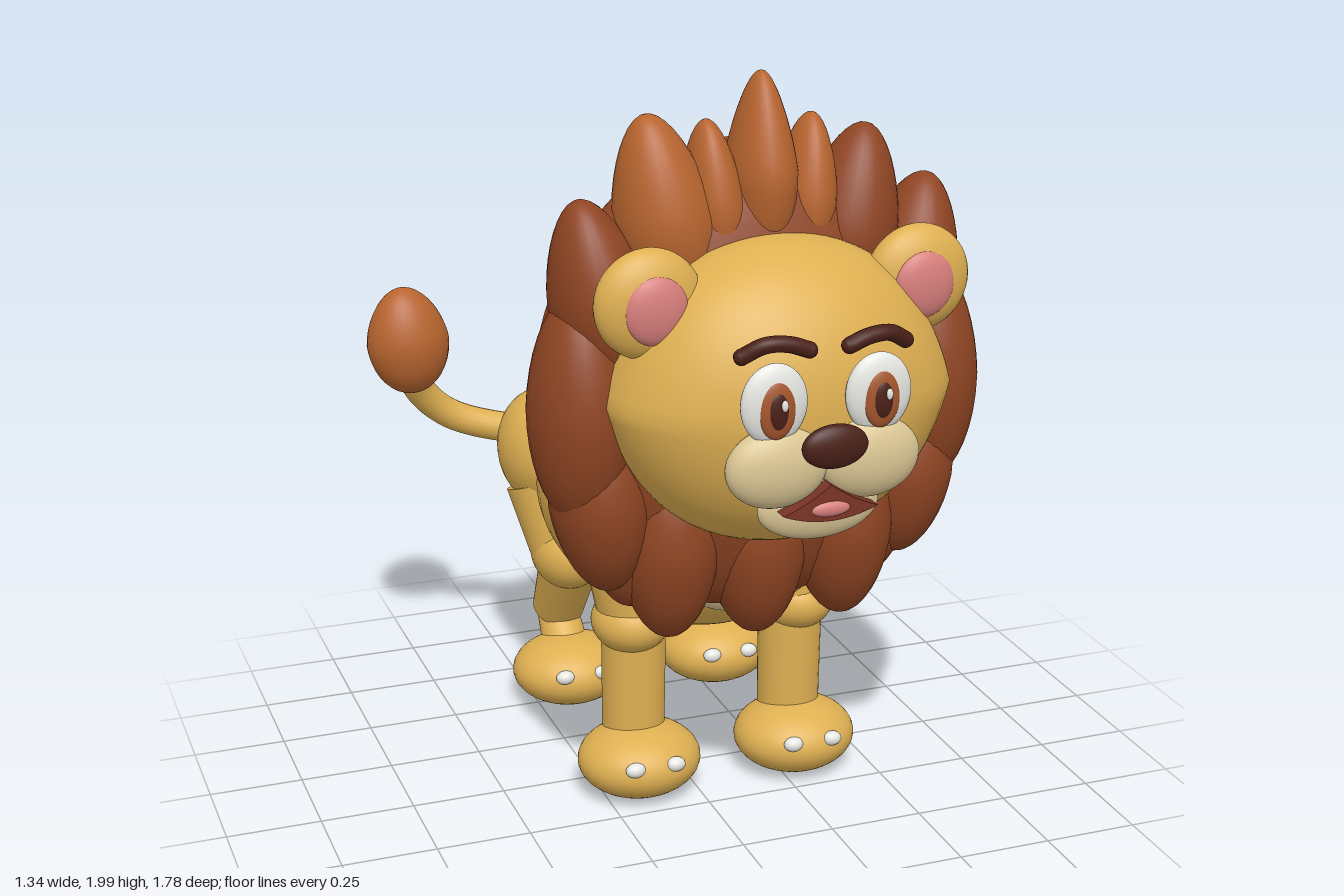
import * as THREE from 'three';

const mat = (name, color) => Object.assign(new THREE.MeshStandardMaterial({ color }), { name });
const tan = mat('tan fur', 0xdfb052);
const brown = mat('brown mane', 0x8f4523);
const orange = mat('orange tuft', 0xb8652f);
const pink = mat('pink', 0xd87f7c);
const cream = mat('cream', 0xdcc795);
const white = mat('white', 0xe6e6e2);
const dark = mat('dark brown', 0x4a2018);
const mouthBrown = mat('mouth brown', 0x7a3326);
const iris = mat('iris brown', 0xa5562c);

const CX = 0.073; // the body's mid plane; the tail reaches out to one side

export function createModel() {
  const model = new THREE.Group();
  const body = new THREE.Group();
  body.name = 'lion';
  body.position.x = CX;
  model.add(body);

  const add = (name, geometry, material, pos = [0, 0, 0]) => {
    const mesh = new THREE.Mesh(geometry, material);
    mesh.name = name;
    mesh.position.set(...pos);
    body.add(mesh);
    return mesh;
  };
  const ball = (name, material, pos, r, detail = 32) =>
    add(name, new THREE.SphereGeometry(1, detail, detail * 0.75).scale(...r), material, pos);

  // ellipsoid lock narrowing towards its tip; angle is measured from straight up
  const lock = (name, material, pos, r, angle = 0, taper = 0.22) => {
    const g = new THREE.SphereGeometry(1, 28, 20);
    const p = g.attributes.position;
    for (let i = 0; i < p.count; i++) {
      const k = 1 - taper * Math.max(0, p.getY(i));
      p.setX(i, p.getX(i) * k);
      p.setZ(i, p.getZ(i) * k);
    }
    g.scale(...r).computeVertexNormals();
    const mesh = add(name, g, material, pos);
    mesh.rotation.z = -angle;
    return mesh;
  };
  // tapered limb between two points
  const limb = (name, a, b, ra, rb) => {
    const from = new THREE.Vector3(...a), to = new THREE.Vector3(...b);
    const dir = to.clone().sub(from);
    const mesh = add(name, new THREE.CylinderGeometry(rb, ra, dir.length(), 28), tan);
    mesh.position.copy(from).addScaledVector(dir, 0.5);
    mesh.quaternion.setFromUnitVectors(new THREE.Vector3(0, 1, 0), dir.normalize());
  };

  // trunk
  ball('chest', tan, [0, 0.81, 0.05], [0.385, 0.355, 0.29], 48);
  ball('belly', tan, [0, 0.715, -0.3], [0.352, 0.325, 0.45], 48);
  ball('rump', tan, [0, 0.715, -0.57], [0.31, 0.328, 0.32], 48);
  ball('chestPatch', cream, [0, 0.67, 0.25], [0.16, 0.11, 0.08]);

  // mane: back dome with a ring of locks
  ball('maneBack', brown, [0, 1.22, 0.31], [0.555, 0.61, 0.235], 48);
  lock('crownLock', orange, [0, 1.76, 0.38], [0.085, 0.24, 0.125], 0, 0.35);
  lock('largeCrownLock', orange, [-0.24, 1.655, 0.36], [0.125, 0.258, 0.14], -0.18);
  lock('sideCrownLock', brown, [0.24, 1.6, 0.36], [0.125, 0.255, 0.14], 0.18);
  for (const s of [-1, 1]) {
    lock('smallCrownLock', orange, [s * 0.12, 1.68, 0.37], [0.075, 0.21, 0.11], s * 0.08);
    lock('upperLock', brown, [s * 0.405, 1.47, 0.36], [0.125, 0.25, 0.15], s * 0.2);
    lock('middleLock', brown, [s * 0.46, 1.2, 0.37], [0.13, 0.3, 0.155], 0, 0.1);
    lock('lowerLock', brown, [s * 0.41, 0.95, 0.36], [0.125, 0.235, 0.15], Math.PI + s * 0.1, 0.1);
    lock('cornerLock', brown, [s * 0.32, 0.87, 0.33], [0.12, 0.22, 0.12], Math.PI, 0.1);
    lock('chinLock', brown, [s * 0.235, 0.825, 0.37], [0.13, 0.255, 0.15], Math.PI, 0.1);
  }
  lock('centreChinLock', brown, [0, 0.805, 0.37], [0.13, 0.255, 0.15], Math.PI, 0.1);

  // head, pinched above and below the cheeks
  const headGeo = new THREE.SphereGeometry(1, 56, 40);
  const hp = headGeo.attributes.position;
  for (let i = 0; i < hp.count; i++) {
    const y = Math.abs(hp.getY(i));
    hp.setX(i, hp.getX(i) * (1 - 0.22 * y * (1 - y)));
  }
  headGeo.scale(0.443, 0.38, 0.3).computeVertexNormals();
  add('head', headGeo, tan, [0, 1.245, 0.5]);

  // paired face parts
  for (const s of [-1, 1]) {
    ball('ear', tan, [s * 0.345, 1.5, 0.545], [0.135, 0.135, 0.065]);
    ball('innerEar', pink, [s * 0.342, 1.495, 0.59], [0.08, 0.085, 0.032]);
    ball('eyeWhite', white, [s * 0.131, 1.31, 0.803], [0.083, 0.098, 0.03]);
    ball('iris', iris, [s * 0.131, 1.3, 0.823], [0.046, 0.07, 0.016]);
    ball('pupil', dark, [s * 0.131, 1.3, 0.833], [0.025, 0.045, 0.01], 20);
    ball('eyeGlint', white, [s * 0.131 + 0.012, 1.315, 0.841], [0.009, 0.014, 0.005], 12);
    ball('muzzleLobe', cream, [s * 0.117, 1.15, 0.79], [0.128, 0.1, 0.055]);
    const browPath = new THREE.CatmullRomCurve3([
      [0.05, 1.435, 0.815], [0.1, 1.452, 0.812], [0.155, 1.453, 0.805], [0.205, 1.425, 0.785],
    ].map(([x, y, z]) => new THREE.Vector3(s * x, y, z)));
    add('eyebrow', new THREE.TubeGeometry(browPath, 20, 0.02, 12), dark);
    for (const t of [0, 1]) {
      const e = browPath.getPoint(t);
      ball('eyebrowEnd', dark, e.toArray(), [0.02, 0.02, 0.02], 12);
    }
  }
  ball('nose', dark, [0, 1.21, 0.858], [0.083, 0.054, 0.028]);
  ball('chin', cream, [0, 1.035, 0.765], [0.155, 0.085, 0.04]);

  // mouth: bowed wedge with tongue
  const mouth = new THREE.Shape();
  mouth.moveTo(-0.12, 1.045);
  mouth.quadraticCurveTo(-0.05, 1.07, 0, 1.11);
  mouth.quadraticCurveTo(0.05, 1.07, 0.12, 1.045);
  mouth.quadraticCurveTo(0, 0.995, -0.12, 1.045);
  add('mouth', new THREE.ExtrudeGeometry(mouth, { depth: 0.04, bevelEnabled: false, curveSegments: 16 }),
    mouthBrown, [0, 0, 0.803]);
  ball('tongue', pink, [0, 1.05, 0.838], [0.052, 0.02, 0.015], 20);

  // legs
  for (const s of [-1, 1]) {
    const x = s * 0.225;
    ball('shoulder', tan, [s * 0.29, 0.87, 0.08], [0.105, 0.13, 0.12]);
    limb('upperArm', [s * 0.275, 0.8, 0.08], [x, 0.52, 0.08], 0.105, 0.098);
    ball('elbow', tan, [s * 0.235, 0.495, 0.08], [0.105, 0.085, 0.115]);
    limb('foreleg', [x, 0.5, 0.075], [x, 0.14, 0.068], 0.087, 0.084);

    ball('thigh', tan, [s * 0.265, 0.77, -0.565], [0.137, 0.172, 0.178]);
    limb('lowerThigh', [s * 0.265, 0.68, -0.54], [s * 0.24, 0.49, -0.48], 0.125, 0.1);
    ball('knee', tan, [s * 0.235, 0.485, -0.47], [0.105, 0.108, 0.13]);
    limb('shin', [x, 0.46, -0.475], [x, 0.26, -0.605], 0.088, 0.075);
    limb('ankle', [x, 0.235, -0.61], [x, 0.11, -0.5], 0.06, 0.07);

    for (const z of [0.115, -0.5]) {
      ball('paw', tan, [x, 0.107, z], [0.167, 0.1, 0.154]);
      for (const t of [-1, 1])
        ball('claw', white, [x + t * 0.056, 0.137, z + 0.135], [0.027, 0.02, 0.02], 16);
    }
  }

  // tail
  const tailPath = new THREE.CatmullRomCurve3([
    [-0.15, 0.77, -0.68], [-0.36, 0.79, -0.735], [-0.5, 0.84, -0.755],
    [-0.59, 0.93, -0.73], [-0.63, 1.03, -0.68],
  ].map((p) => new THREE.Vector3(...p)));
  add('tail', new THREE.TubeGeometry(tailPath, 32, 0.043, 16), tan);
  lock('tailTuft', orange, [-0.632, 1.095, -0.672], [0.116, 0.154, 0.098], -0.1, 0.15);

  return model;
}
